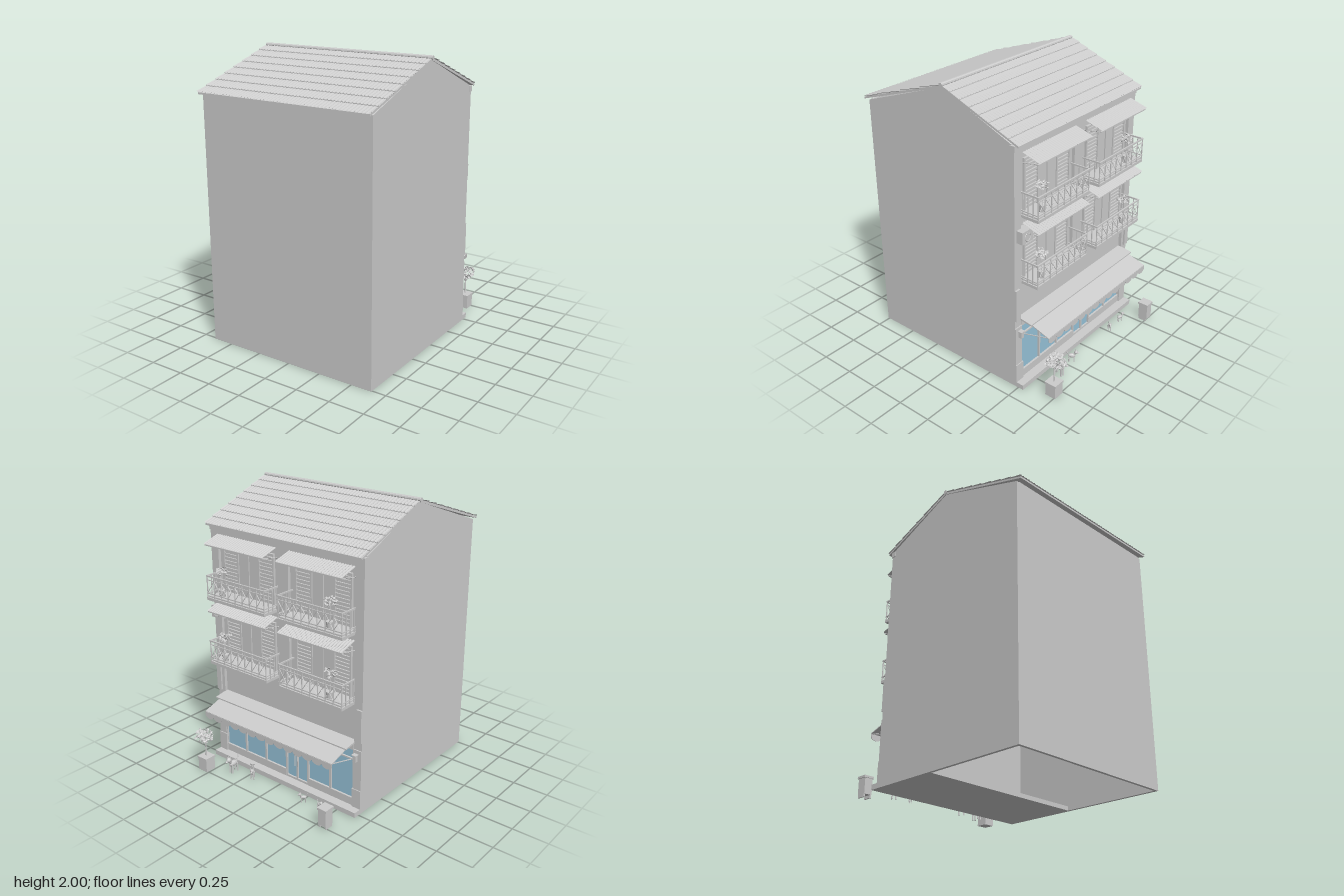
import * as THREE from 'three';
import { mergeGeometries } from 'three/addons/utils/BufferGeometryUtils.js';

const plaster = new THREE.MeshStandardMaterial({ color: 0xcccccc, flatShading: true, side: THREE.DoubleSide });
plaster.name = 'light grey';
const glass = new THREE.MeshStandardMaterial({ color: 0x98c4da });
glass.name = 'blue glass';

let seed = 7;
const rnd = () => ((seed = (seed * 16807) % 2147483647) / 2147483647);

// box from its limits
function box(x0, x1, y0, y1, z0, z1) {
  return new THREE.BoxGeometry(x1 - x0, y1 - y0, Math.abs(z1 - z0))
    .translate((x0 + x1) / 2, (y0 + y1) / 2, (z0 + z1) / 2);
}
// round bar between two points
function rod(a, b, r = 0.004, sides = 6) {
  const p = new THREE.Vector3(...a), q = new THREE.Vector3(...b), d = q.clone().sub(p);
  const g = new THREE.CylinderGeometry(r, r, d.length(), sides);
  g.applyQuaternion(new THREE.Quaternion().setFromUnitVectors(new THREE.Vector3(0, 1, 0), d.normalize()));
  return g.translate((a[0] + b[0]) / 2, (a[1] + b[1]) / 2, (a[2] + b[2]) / 2);
}
// outline given as [z, y], swept along x
function profile(points, x0, x1) {
  const s = new THREE.Shape(points.map(p => new THREE.Vector2(p[0], p[1])));
  return new THREE.ExtrudeGeometry(s, { depth: x1 - x0, bevelEnabled: false }).rotateY(-Math.PI / 2).translate(x1, 0, 0);
}
function ball(x, y, z, rx, ry, rz) {
  return new THREE.SphereGeometry(1, 10, 7).scale(rx, ry, rz).translate(x, y, z);
}
// ribbed sheet in overlapping rows, from low edge to high edge ([z, y])
function ribbed(x0, x1, low, high, ribs, rows, amp, step) {
  const lines = rows * 2 - 1, g = new THREE.PlaneGeometry(1, 1, ribs * 4, lines), p = g.attributes.position;
  const flip = high[0] > low[0] ? -1 : 1;
  for (let i = 0; i < p.count; i++) {
    const j = Math.round((p.getY(i) + 0.5) * lines), lower = j % 2 === 0;
    const t = (Math.floor(j / 2) + (lower ? 0 : 1)) / rows;
    const wave = amp * Math.max(-0.2, Math.cos((p.getX(i) + 0.5) * ribs * Math.PI * 2));
    p.setXYZ(i, (x0 + x1) / 2 + flip * p.getX(i) * (x1 - x0),
      low[1] + (high[1] - low[1]) * t + wave + (lower ? step : 0), low[0] + (high[0] - low[0]) * t);
  }
  g.computeVertexNormals();
  return g;
}
// scattered small leaves in an ellipsoid
function leaves(x, y, z, rx, ry, rz, count, size) {
  const out = [];
  for (let i = 0; i < count; i++) {
    const a = rnd() * Math.PI * 2, h = rnd() * 2 - 1, w = Math.sqrt(1 - h * h), k = 0.45 + 0.5 * rnd();
    out.push(new THREE.OctahedronGeometry(size).scale(1, 0.35, 0.7).rotateZ(rnd() * 2 - 1).rotateY(rnd() * 6)
      .translate(x + rx * k * w * Math.cos(a), y + ry * k * h, z + rz * k * w * Math.sin(a)));
  }
  return out;
}

export function createModel() {
  const model = new THREE.Group();
  model.name = 'townhouseWithShop';
  const add = (name, parts, mat = plaster, parent = model) => {
    const list = [].concat(parts).map(g => (g.index ? g.toNonIndexed() : g));
    const mesh = new THREE.Mesh(mergeGeometries(list), mat);
    mesh.name = name;
    parent.add(mesh);
  };

  // walls, open underneath
  const gable = [[0.76, 0], [0.76, 1.735], [0.09, 1.97], [-0.45, 1.745], [-0.45, 0]];
  add('sideWalls', [profile(gable, -0.65, -0.63), profile(gable, 0.63, 0.65)]);
  add('blankWall', box(-0.63, 0.63, 0, 1.74, 0.74, 0.76));
  add('shopFacadeWall', [box(-0.63, 0.63, 0.47, 1.74, -0.45, -0.43), box(-0.63, 0.63, 0, 0.47, -0.45, -0.43)]);
  add('shopFloor', box(-0.63, 0.63, 0, 0.03, -0.5, 0.02));
  add('cornice', [box(-0.655, 0.655, 1.7, 1.74, -0.478, -0.44), box(-0.65, 0.65, 1.66, 1.7, -0.472, -0.45)]);

  // tiled roof
  add('roofDeck', [
    profile([[0.8, 1.735], [0.8, 1.748], [0.09, 1.985], [0.09, 1.968]], -0.655, 0.655),
    profile([[-0.51, 1.735], [-0.51, 1.748], [0.09, 1.985], [0.09, 1.968]], -0.655, 0.655)]);
  add('roofTiles', [
    ribbed(-0.66, 0.66, [0.805, 1.745], [0.09, 1.983], 52, 8, 0.005, 0.007),
    ribbed(-0.66, 0.66, [-0.515, 1.745], [0.09, 1.983], 52, 8, 0.005, 0.007)]);
  add('ridgeCap', rod([-0.66, 1.985, 0.09], [0.66, 1.985, 0.09], 0.015, 10));

  // pilasters, bands and step
  const trim = [box(-0.045, 0.045, 0.78, 1.66, -0.472, -0.45), box(-0.65, 0.65, 1.2, 1.25, -0.472, -0.45),
    box(-0.65, 0.65, 0.72, 0.79, -0.472, -0.45)];
  for (const s of [-1, 1]) {
    const span = (a, b, ...r) => box(Math.min(s * a, s * b), Math.max(s * a, s * b), ...r);
    trim.push(span(0.585, 0.65, 0.46, 1.7, -0.472, -0.45), span(0.585, 0.65, 0.03, 0.46, -0.48, -0.45),
      span(0.58, 0.65, 0.03, 0.17, -0.486, -0.45), span(0.61, 0.65, 0.52, 0.75, -0.485, -0.45));
    // wall lamps
    add('wallLamp', [span(0.6, 0.625, 0.385, 0.43, -0.507, -0.483), span(0.595, 0.63, 0.43, 0.436, -0.512, -0.478)]);
  }
  add('facadeTrim', trim);
  add('frontStep', box(-0.65, 0.65, 0, 0.035, -0.54, -0.45));

  // shop front: six bays, the fourth is a double door
  const frames = [box(-0.585, 0.585, 0.45, 0.5, -0.475, -0.45), box(-0.585, 0.585, 0.375, 0.385, -0.474, -0.45),
    box(0, 0.585, 0.035, 0.09, -0.476, -0.45), box(-0.585, -0.195, 0.035, 0.09, -0.476, -0.45)];
  for (let i = 0; i <= 6; i++) {
    const x = 0.585 - i * 0.195;
    frames.push(box(x - 0.007, x + 0.007, 0.035, 0.46, -0.474, -0.45));
  }
  frames.push(box(-0.104, -0.091, 0.035, 0.38, -0.474, -0.45), box(-0.195, 0, 0.035, 0.05, -0.474, -0.45),
    rod([-0.085, 0.15, -0.482], [-0.085, 0.27, -0.482]), rod([-0.11, 0.15, -0.482], [-0.11, 0.27, -0.482]));
  add('shopFrames', frames);
  add('shopGlass', box(-0.58, 0.58, 0.04, 0.45, -0.462, -0.455), glass);

  // shop awning with scalloped valance
  add('shopLedge', profile([[-0.45, 0.515], [-0.56, 0.497], [-0.56, 0.488], [-0.45, 0.5]], -0.59, 0.59));
  add('shopAwning', profile([[-0.47, 0.508], [-0.685, 0.44], [-0.685, 0.434], [-0.47, 0.5]], -0.575, 0.57));
  const scallops = 14, w = 1.145 / scallops, edge = new THREE.Shape();
  edge.moveTo(-0.575, 0.437).lineTo(0.57, 0.437).lineTo(0.57, 0.418);
  for (let i = 0; i < scallops; i++) edge.absellipse(0.57 - (i + 0.5) * w, 0.418, w / 2, 0.028, 0, -Math.PI, true);
  add('awningValance', new THREE.ExtrudeGeometry(edge, { depth: 0.004, bevelEnabled: false, curveSegments: 6 })
    .translate(0, 0, -0.687));
  add('awningArms', [-0.565, 0.56].map(x => rod([x, 0.435, -0.682], [x, 0.375, -0.47])));

  // four balconies, each with doors, railing, plant and small ribbed canopy
  for (const s of [-1, 1]) for (const y of [0.775, 1.245]) {
    const g = new THREE.Group();
    g.name = 'balcony';
    model.add(g);
    const x0 = s < 0 ? -0.585 : 0.05, x1 = s < 0 ? -0.06 : 0.58, zf = -0.595, top = y + 0.175;
    add('balconySlab', [box(x0, x1, y, y + 0.02, -0.6, -0.45), box(x0 + 0.01, x1 - 0.01, y + 0.02, y + 0.03, -0.59, -0.45)], plaster, g);
    const rail = [box(x0, x1, top - 0.01, top, -0.6, -0.59), box(x0, x1, y + 0.045, y + 0.052, -0.598, -0.592),
      box(x0, x1, top - 0.035, top - 0.029, -0.598, -0.592)];
    const n = 8, dx = (x1 - x0 - 0.01) / n;
    for (let i = 0; i <= n; i++) {
      const x = x0 + 0.005 + i * dx, a = y + 0.05, b = top - 0.032;
      rail.push(box(x - 0.003, x + 0.003, y + 0.02, top, -0.598, -0.592));
      if (i < n) rail.push(rod([x, a, zf], [x + dx, b, zf], 0.0025, 4), rod([x, b, zf], [x + dx, a, zf], 0.0025, 4));
    }
    for (const x of [x0, x1 - 0.008]) {
      rail.push(box(x, x + 0.008, top - 0.01, top, -0.6, -0.45), box(x, x + 0.008, y + 0.045, y + 0.052, -0.6, -0.45));
      for (const z of [-0.478, -0.517, -0.556]) rail.push(box(x, x + 0.006, y + 0.02, top, z - 0.003, z + 0.003));
    }
    add('railing', rail, plaster, g);

    // door panel, frame and louvred shutters
    const d = [box(x0 + 0.17, x1 - 0.17, y + 0.03, y + 0.36, -0.458, -0.45)];
    for (const x of [x0 + 0.04, x0 + 0.17, (x0 + x1) / 2, x1 - 0.17, x1 - 0.04])
      d.push(box(x - 0.006, x + 0.006, y + 0.03, y + 0.375, -0.466, -0.45));
    d.push(box(x0 + 0.034, x1 - 0.034, y + 0.365, y + 0.38, -0.466, -0.45));
    for (let i = 0; i < 13; i++) for (const x of [x0 + 0.045, x1 - 0.165])
      d.push(box(x, x + 0.12, y + 0.04 + i * 0.025, y + 0.055 + i * 0.025, -0.46, -0.45));
    add('balconyDoors', d, plaster, g);

    // canopy and its stays
    const cy = y + 0.435;
    add('canopySheet', ribbed(x0 - 0.005, x1, [-0.603, cy - 0.043], [-0.455, cy + 0.002], 26, 1, 0.004, 0), plaster, g);
    add('canopyFrame', [box(x0, x1, cy - 0.055, cy - 0.047, -0.598, -0.588),
      ...[x0 + 0.01, x1 - 0.01].map(x => rod([x, cy - 0.05, -0.595], [x, cy - 0.075, -0.455], 0.0035))], plaster, g);

    // potted plant
    const px = s < 0 ? -0.45 : 0.48, pot = new THREE.CylinderGeometry(0.026, 0.02, 0.05, 10);
    add('balconyPot', pot.translate(px, y + 0.055, -0.55), plaster, g);
    add('balconyPlant', [rod([px, y + 0.08, -0.55], [px, y + 0.2, -0.545], 0.003, 5),
      ...leaves(px, y + 0.205, -0.545, 0.05, 0.035, 0.045, 30, 0.013)], plaster, g);
  }

  // air conditioner
  add('airConditioner', [box(0.53, 0.63, 1.09, 1.175, -0.52, -0.45),
    new THREE.TorusGeometry(0.028, 0.003, 5, 16).translate(0.58, 1.132, -0.521)]);

  // potted tree
  add('treePlanter', [box(0.51, 0.59, 0, 0.1, -0.76, -0.68), box(0.506, 0.594, 0.09, 0.105, -0.764, -0.676)]);
  add('treeTrunk', [rod([0.55, 0.1, -0.72], [0.55, 0.25, -0.72], 0.005),
    ...[0, 1, 2, 3, 4].map(i => rod([0.55, 0.2, -0.72],
      [0.55 + 0.045 * Math.cos(i * 1.257), 0.28, -0.72 + 0.045 * Math.sin(i * 1.257)], 0.003, 5))]);
  add('treeLeaves', leaves(0.548, 0.272, -0.725, 0.075, 0.055, 0.075, 95, 0.015));

  // street bin
  add('streetBin', [box(-0.59, -0.53, 0.02, 0.13, -0.765, -0.695), box(-0.597, -0.523, 0.13, 0.145, -0.77, -0.69),
    box(-0.59, -0.58, 0, 0.02, -0.76, -0.7), box(-0.54, -0.53, 0, 0.02, -0.76, -0.7)]);

  // small animals on the pavement
  const animals = [[0.37, -0.63, 1, 0], [0.2, -0.61, 0.7, 0.6], [-0.27, -0.61, 0.55, -0.8], [-0.41, -0.61, 0.55, 1.2]];
  for (const [x, z, k, turn] of animals) {
    const parts = [ball(0, 0.07, 0, 0.02, 0.022, 0.04), ball(0, 0.11, -0.042, 0.018, 0.019, 0.02),
      ball(0, 0.103, -0.062, 0.009, 0.008, 0.012), rod([0, 0.08, -0.025], [0, 0.11, -0.04], 0.012),
      rod([0, 0.08, 0.035], [0, 0.115, 0.052], 0.004)];
    for (const s of [-1, 1]) {
      parts.push(rod([s * 0.012, 0, -0.025], [s * 0.012, 0.065, -0.022], 0.006),
        rod([s * 0.012, 0, 0.028], [s * 0.012, 0.065, 0.025], 0.006),
        new THREE.ConeGeometry(0.007, 0.02, 4).translate(s * 0.011, 0.132, -0.038));
    }
    add('pavementAnimal', parts.map(p => p.scale(k, k, k).rotateY(turn).translate(x, 0, z)));
  }
  add('feedingBowl', new THREE.CylinderGeometry(0.018, 0.013, 0.012, 12).translate(0.29, 0.041, -0.52));
  return model;
}
